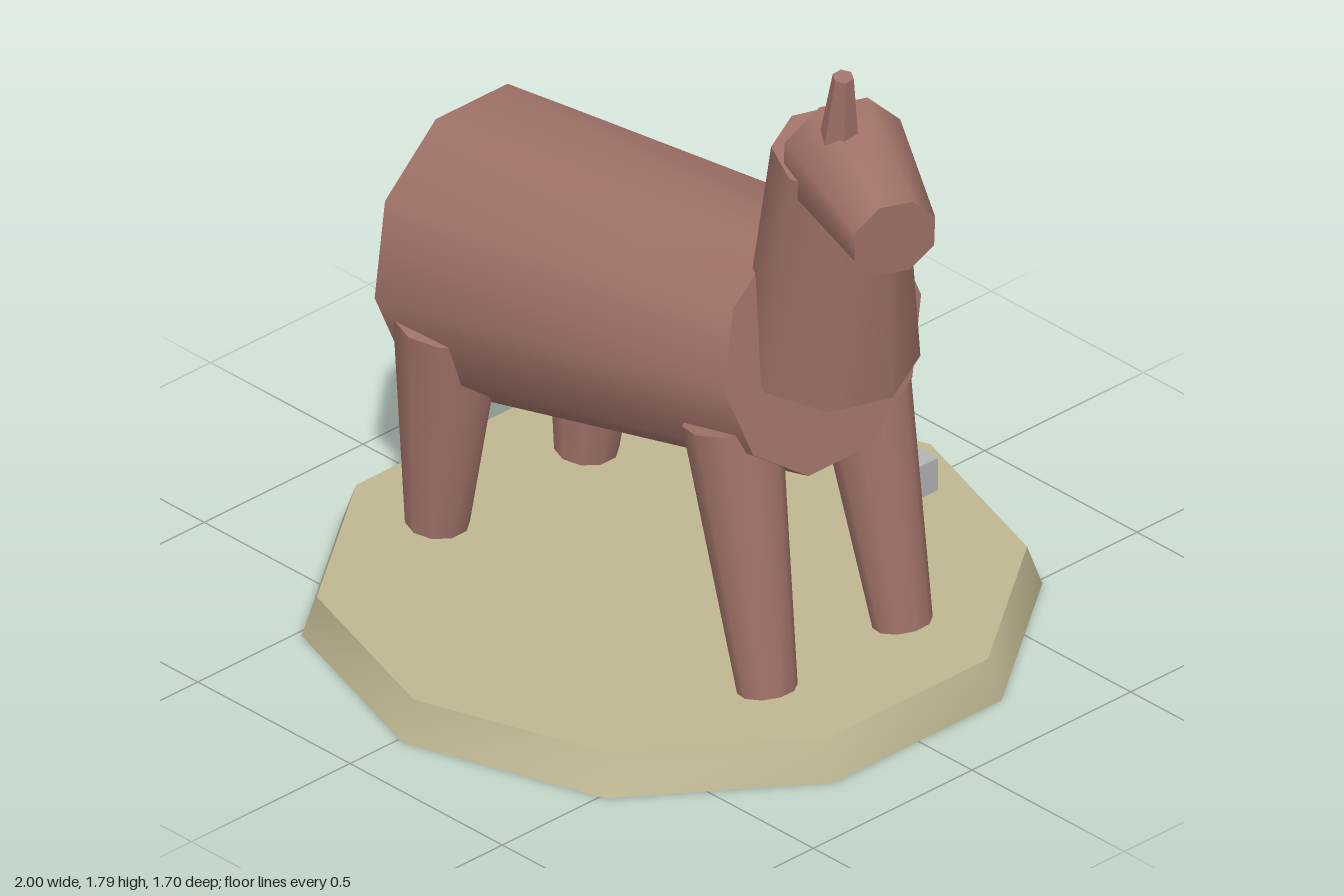
import * as THREE from 'three';
import { toCreasedNormals } from 'three/addons/utils/BufferGeometryUtils.js';

const material = (name, color) => {
  const m = new THREE.MeshStandardMaterial({ color });
  m.name = name;
  return m;
};

// Tapered round bar running from point a to point b
function bar(name, a, b, radiusA, radiusB, sides, mat) {
  const start = new THREE.Vector3(...a);
  const end = new THREE.Vector3(...b);
  const dir = end.clone().sub(start);
  const geo = new THREE.CylinderGeometry(radiusB, radiusA, dir.length(), sides);
  const mesh = new THREE.Mesh(toCreasedNormals(geo, 0.9), mat);
  mesh.name = name;
  mesh.position.copy(start).add(end).multiplyScalar(0.5);
  mesh.quaternion.setFromUnitVectors(new THREE.Vector3(0, 1, 0), dir.normalize());
  return mesh;
}

export function createModel() {
  const coat = material('brown coat', 0xa07268);
  const hair = material('dark blue hair', 0x3a4a64);
  const stone = material('tan base', 0xbfb791);
  const metal = material('grey plate', 0xb2b2b4);
  const model = new THREE.Group();
  model.name = 'horseFigurine';

  // Ten-sided stand with sloping rim, and a small block near its back edge
  model.add(bar('base', [0.015, 0, 0], [0.015, 0.1, 0], 0.85, 0.815, 10, stone));
  const plate = new THREE.Mesh(new THREE.BoxGeometry(0.315, 0.085, 0.065), metal);
  plate.name = 'plate';
  plate.position.set(0.015, 0.1425, -0.655);
  model.add(plate);

  // Body, narrowing and rising towards the chest
  model.add(bar('body', [-0.58, 0.72, 0], [0.51, 0.92, 0], 0.366, 0.31, 10, coat));

  // Legs, mirrored across the body
  for (const [side, s] of [['left', 1], ['right', -1]]) {
    model.add(bar(side + 'FrontLeg', [0.55, 0.11, 0.213 * s], [0.42, 0.765, 0.2 * s], 0.07, 0.115, 10, coat));
    model.add(bar(side + 'HindLeg', [-0.51, 0.105, 0.235 * s], [-0.468, 0.665, 0.237 * s], 0.075, 0.13, 10, coat));
  }

  // Neck, head turned to one side, and ear
  model.add(bar('neck', [0.54, 0.91, 0.005], [0.638, 1.52, 0.075], 0.205, 0.152, 8, coat));
  model.add(bar('head', [0.645, 1.515, 0.07], [0.96, 1.475, 0.205], 0.152, 0.105, 8, coat));
  model.add(bar('ear', [0.71, 1.61, 0.14], [0.74, 1.79, 0.156], 0.046, 0.025, 6, coat));

  // Mane tuft and tail
  model.add(bar('mane', [0.342, 1.14, -0.16], [0.398, 1.318, -0.138], 0.05, 0.06, 6, hair));
  model.add(bar('tail', [-0.645, 0.715, -0.005], [-0.97, 0.264, -0.105], 0.08, 0.035, 6, hair));

  return model;
}
